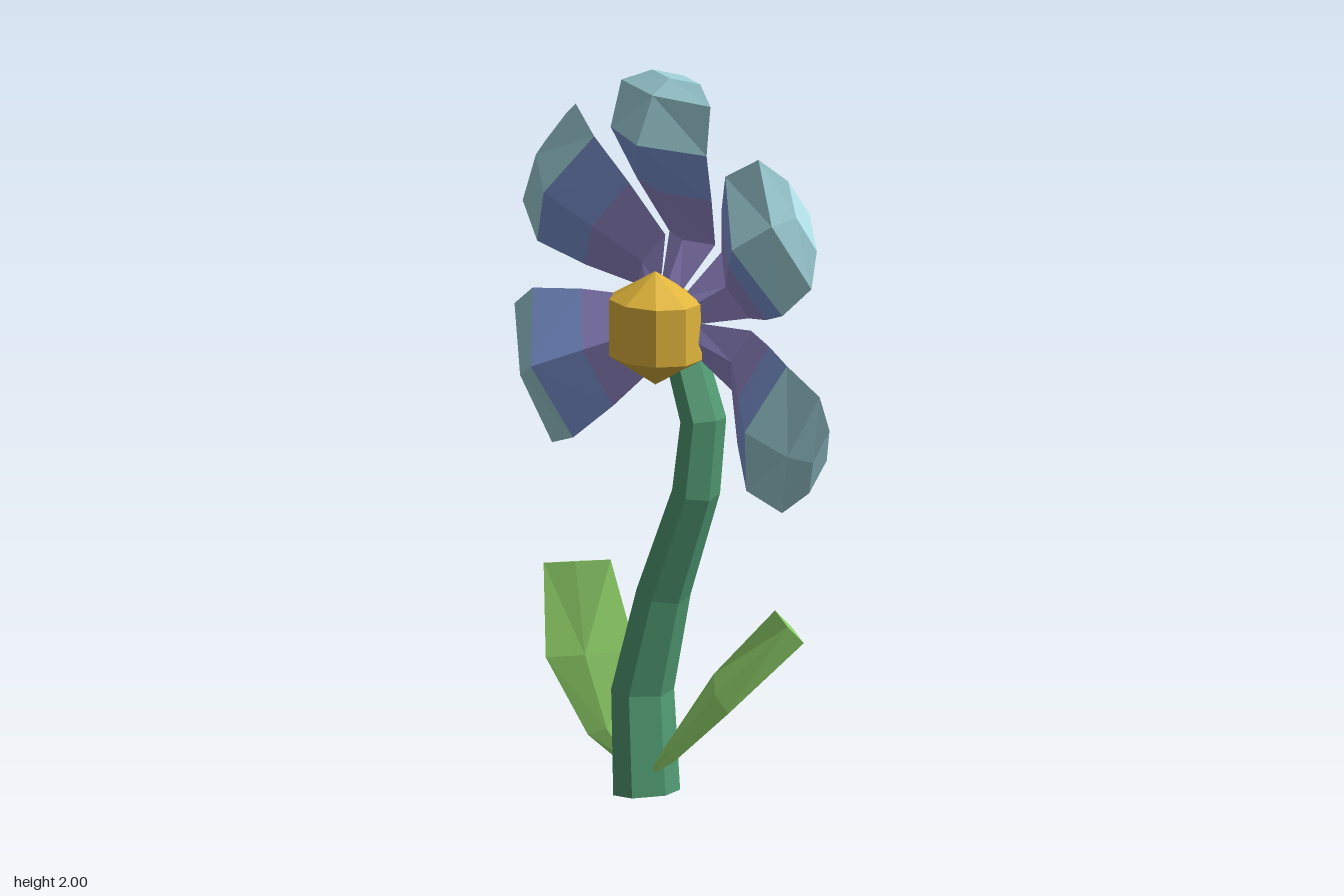
import * as THREE from 'three';

const material = (name, color) => {
  const m = new THREE.MeshStandardMaterial({ color });
  m.name = name;
  return m;
};

// Flat-shaded skin over rings of points, each counter-clockwise about the direction of travel
function loft(rings, capStart = true, capEnd = true) {
  const pos = [];
  const tri = (a, b, c) => pos.push(...a, ...b, ...c);
  const n = rings[0].length;
  for (let i = 0; i < rings.length - 1; i++) {
    for (let j = 0; j < n; j++) {
      const k = (j + 1) % n;
      const a = rings[i][j], b = rings[i][k], c = rings[i + 1][k], d = rings[i + 1][j];
      // alternate the diagonal so mirrored halves fold alike
      if (j % 2) { tri(a, b, c); tri(a, c, d); } else { tri(a, b, d); tri(b, c, d); }
    }
  }
  const last = rings[rings.length - 1];
  for (let j = 1; j < n - 1; j++) {
    if (capStart) tri(rings[0][0], rings[0][j + 1], rings[0][j]);
    if (capEnd) tri(last[0], last[j], last[j + 1]);
  }
  const g = new THREE.BufferGeometry();
  g.setAttribute('position', new THREE.Float32BufferAttribute(pos, 3));
  g.computeVertexNormals();
  return g;
}

export function createModel() {
  const root = new THREE.Group();
  root.name = 'flower';
  const stemGreen = material('stem green', 0x519b73);
  const leafGreen = material('leaf green', 0x93d66c);
  const gold = material('gold', 0xe0b53c);
  const violet = material('violet', 0x978bce);
  const blue = material('blue', 0x819ada);
  const paleTeal = material('pale teal', 0xa2d5dd);
  const add = (parent, name, geometry, mat) => {
    const mesh = new THREE.Mesh(geometry, mat);
    mesh.name = name;
    parent.add(mesh);
    return mesh;
  };

  // Stem: hexagonal rings along a bent path [x, y, z, radius]
  const path = [
    [-0.083, 0.008, 0, 0.083], [-0.107, 0.29, -0.005, 0.078], [-0.035, 0.57, -0.02, 0.068],
    [0.086, 0.87, -0.037, 0.06], [0.106, 1.07, -0.046, 0.057], [0.03, 1.27, -0.036, 0.052],
  ];
  const stemRings = path.map(([x, y, z, r], i) => {
    const a = path[Math.max(i - 1, 0)], b = path[Math.min(i + 1, path.length - 1)];
    const t = new THREE.Vector2(b[0] - a[0], b[1] - a[1]).normalize();
    return Array.from({ length: 6 }, (_, j) => {
      const u = r * Math.cos(j * Math.PI / 3), v = 1.14 * r * Math.sin(j * Math.PI / 3);
      return [x + u * t.y, y - u * t.x, z - v];
    });
  });
  add(root, 'stem', loft(stemRings), stemGreen);

  // Leaves: [lower edge, upper edge, half thickness] per section, mirrored about the stem foot
  const leafSections = [
    [[0.07, 0.08, 0.03], [0.05, 0.11, 0.01], 0.008],
    [[0.19, 0.14, 0.055], [0.085, 0.185, -0.025], 0.016],
    [[0.40, 0.31, 0.035], [0.17, 0.355, -0.093], 0.02],
    [[0.57, 0.52, -0.09], [0.36, 0.56, -0.155], 0.006],
  ];
  for (const side of [1, -1]) {
    const rings = leafSections.map(([low, up, t]) => {
      const mid = low.map((v, i) => (v + up[i]) / 2);
      const ring = [[mid[0], mid[1], mid[2] + t], low, [mid[0], mid[1], mid[2] - t], up]
        .map(([x, y, z]) => [-0.08 + side * x, y, z]);
      return side > 0 ? ring : ring.reverse();
    });
    add(root, side > 0 ? 'leftLeaf' : 'rightLeaf', loft(rings), leafGreen);
  }

  // Petal sections: [distance out, half width, front ridge z, edge z, back ridge z]
  const petalRings = [
    [0.06, 0.042, 0.0, -0.02, -0.04],
    [0.195, 0.1, -0.062, -0.095, -0.119],
    [0.34, 0.164, 0.018, -0.033, -0.068],
    [0.48, 0.21, 0.095, 0.02, -0.02],
    [0.61, 0.195, 0.04, -0.005, -0.045],
    [0.65, 0.105, -0.018, -0.04, -0.065],
  ].map(([r, w, f, e, b]) => [[0, r, f], [w, r, e], [0, r, b], [-w, r, e]]);
  const bands = [
    ['petalBase', loft(petalRings.slice(0, 3), true, false), violet],
    ['petalMiddle', loft(petalRings.slice(2, 4), false, false), blue],
    ['petalTip', loft(petalRings.slice(3), false, true), paleTeal],
  ];
  // Petal placement: [turn in degrees, x, y]
  const placements = [
    [0, -0.005, 1.35], [53.5, -0.026, 1.335], [-53.5, 0.026, 1.335],
    [115, -0.033, 1.33], [-115, 0.033, 1.33],
  ];
  for (const [degrees, x, y] of placements) {
    const petal = new THREE.Group();
    petal.name = 'petal';
    for (const [name, geometry, mat] of bands) add(petal, name, geometry, mat);
    petal.position.set(x, y, 0);
    petal.rotation.z = THREE.MathUtils.degToRad(degrees);
    root.add(petal);
  }

  // Faceted flower centre, slightly flattened front to back
  const ball = new THREE.SphereGeometry(0.157, 9, 3).rotateY(0.3).scale(1.04, 1, 0.86).toNonIndexed();
  ball.computeVertexNormals();
  add(root, 'flowerCenter', ball, gold).position.set(0.003, 1.318, 0.037);

  return root;
}
